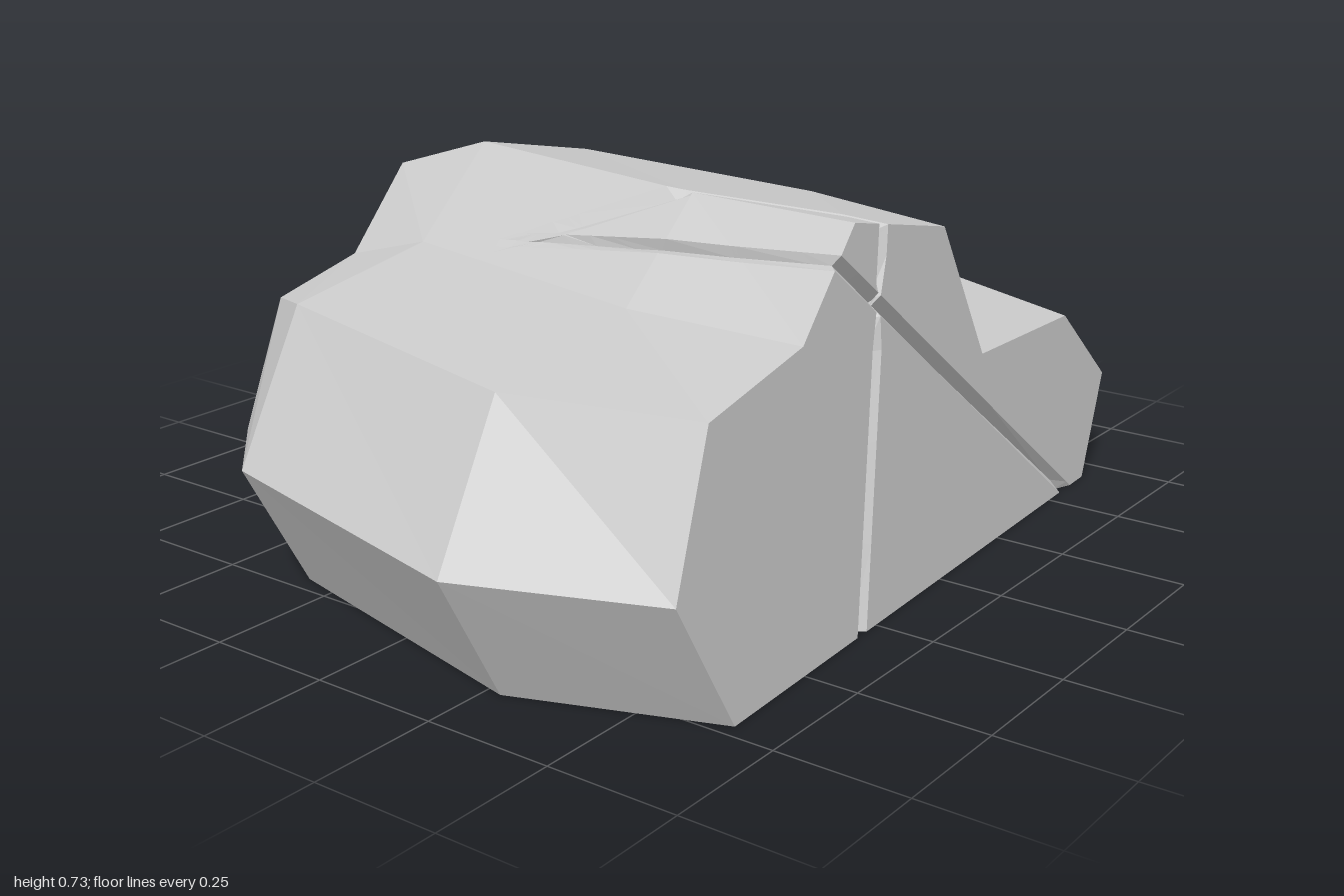
import * as THREE from 'three';

const V = (x, y, z) => new THREE.Vector3(x, y, z);
const frontZ = (x, y) => 0.62 - 0.05 * x - 0.08 * y;

// Outlines from front to back; each runs from the left foot over the top to the right foot
const sections = [
  [[-0.72, 0], [-0.86, 0.25], [-0.74, 0.51], [-0.45, 0.56], [-0.26, 0.73],
    [0.07, 0.66], [0.21, 0.385], [0.6, 0.37], [0.79, 0.2], [0.67, 0]].map(([x, y]) => V(x, y, frontZ(x, y))),
  [[-0.86, 0, 0.28], [-1, 0.25, 0.28], [-0.82, 0.51, 0.25], [-0.44, 0.56, 0.22], [-0.23, 0.73, 0.21],
    [0.18, 0.66, 0.2], [0.32, 0.385, 0.2], [0.76, 0.37, 0.2], [1, 0.2, 0.2], [0.83, 0, 0.21]].map((p) => V(...p)),
  [[-0.71, 0, -0.33], [-0.84, 0.25, -0.35], [-0.64, 0.51, -0.4], [-0.29, 0.56, -0.41], [-0.09, 0.73, -0.42],
    [0.25, 0.66, -0.43], [0.35, 0.385, -0.43], [0.78, 0.37, -0.43], [0.93, 0.2, -0.43], [0.77, 0, -0.43]].map((p) => V(...p)),
  [[-0.53, 0, -0.56], [-0.63, 0.23, -0.57], [-0.5, 0.46, -0.6], [-0.27, 0.5, -0.625], [-0.1, 0.66, -0.645],
    [0.16, 0.59, -0.655], [0.24, 0.345, -0.64], [0.54, 0.335, -0.66], [0.66, 0.18, -0.655], [0.55, 0, -0.63]].map((p) => V(...p)),
];

// Skin between neighbouring outlines plus the two end caps
function rockTriangles() {
  const tris = [];
  const n = sections[0].length;
  for (let s = 0; s < sections.length - 1; s++) {
    for (let k = 0; k < n; k++) {
      const a = sections[s][k], b = sections[s][(k + 1) % n];
      const c = sections[s + 1][(k + 1) % n], d = sections[s + 1][k];
      tris.push([a, b, c], [a, c, d]);
    }
  }
  for (const [ring, facing] of [[sections[0], 1], [sections[3], -1]]) {
    const flat = ring.map((p) => new THREE.Vector2(p.x, p.y));
    for (const [i, j, k] of THREE.ShapeUtils.triangulateShape(flat, [])) {
      const area = THREE.ShapeUtils.area([flat[i], flat[j], flat[k]]);
      tris.push(area * facing > 0 ? [ring[i], ring[j], ring[k]] : [ring[i], ring[k], ring[j]]);
    }
  }
  return tris;
}

// Cut every triangle along a plane, keeping both halves
function split(tris, plane) {
  const out = [];
  for (const tri of tris) {
    for (const side of [1, -1]) {
      const poly = [];
      tri.forEach((p, i) => {
        const q = tri[(i + 1) % 3];
        const snap = (v) => (Math.abs(v) < 1e-6 ? 0 : v * side);
        const dp = snap(plane.distanceToPoint(p)), dq = snap(plane.distanceToPoint(q));
        if (dp >= 0) poly.push(p);
        if (dp * dq < 0) poly.push(p.clone().lerp(q, dp / (dp - dq)));
      });
      const inside = poly.some((p) => plane.distanceToPoint(p) * side > 1e-6);
      if (inside) for (let i = 1; i < poly.length - 1; i++) out.push([poly[0], poly[i], poly[i + 1]]);
    }
  }
  return out;
}

export function createModel() {
  const halfWidth = 0.016, depth = 0.024, crackEnd = -0.2;

  // Two crossing cracks, each lying in a plane through three surface points
  const cracks = [
    [V(-0.3, 0, 0.635), V(-0.16, 0.71, 0.57), V(-0.22, 0.73, 0.2)],
    [V(0.58, 0, 0.59), V(-0.32, 0.67, 0.58), V(-0.33, 0.65, 0.2)],
  ].map((p) => new THREE.Plane().setFromCoplanarPoints(...p));

  let tris = split(rockTriangles(), new THREE.Plane(V(0, 0, 1), -crackEnd));
  for (const crack of cracks) {
    for (const o of [-halfWidth, 0, halfWidth]) {
      tris = split(tris, new THREE.Plane(crack.normal.clone(), crack.constant + o));
    }
  }

  // Press the middle line of each crack inwards, fading out towards the back
  const core = V(-0.1, 0.25, 0);
  const press = (p) => {
    const onCrack = cracks.filter((c) => Math.abs(c.distanceToPoint(p)) < 1e-5);
    if (!onCrack.length || (p.y < 1e-4 && p.z < 0.5)) return p;
    const fade = THREE.MathUtils.clamp((p.z - crackEnd) / 0.4, 0, 1);
    const dir = core.clone().sub(p);
    dir.addScaledVector(onCrack[0].normal, -dir.dot(onCrack[0].normal));
    if (p.y < 1e-4) dir.y = 0;
    return p.clone().addScaledVector(dir.normalize(), depth * fade);
  };

  const points = tris.flat().map(press);
  const geometry = new THREE.BufferGeometry().setFromPoints(points);
  geometry.computeVertexNormals();

  const rock = new THREE.Mesh(geometry, new THREE.MeshStandardMaterial({ color: 0xcccccc, flatShading: true }));
  rock.name = 'crackedBoulder';
  const group = new THREE.Group();
  group.name = 'rock';
  group.add(rock);
  return group;
}
